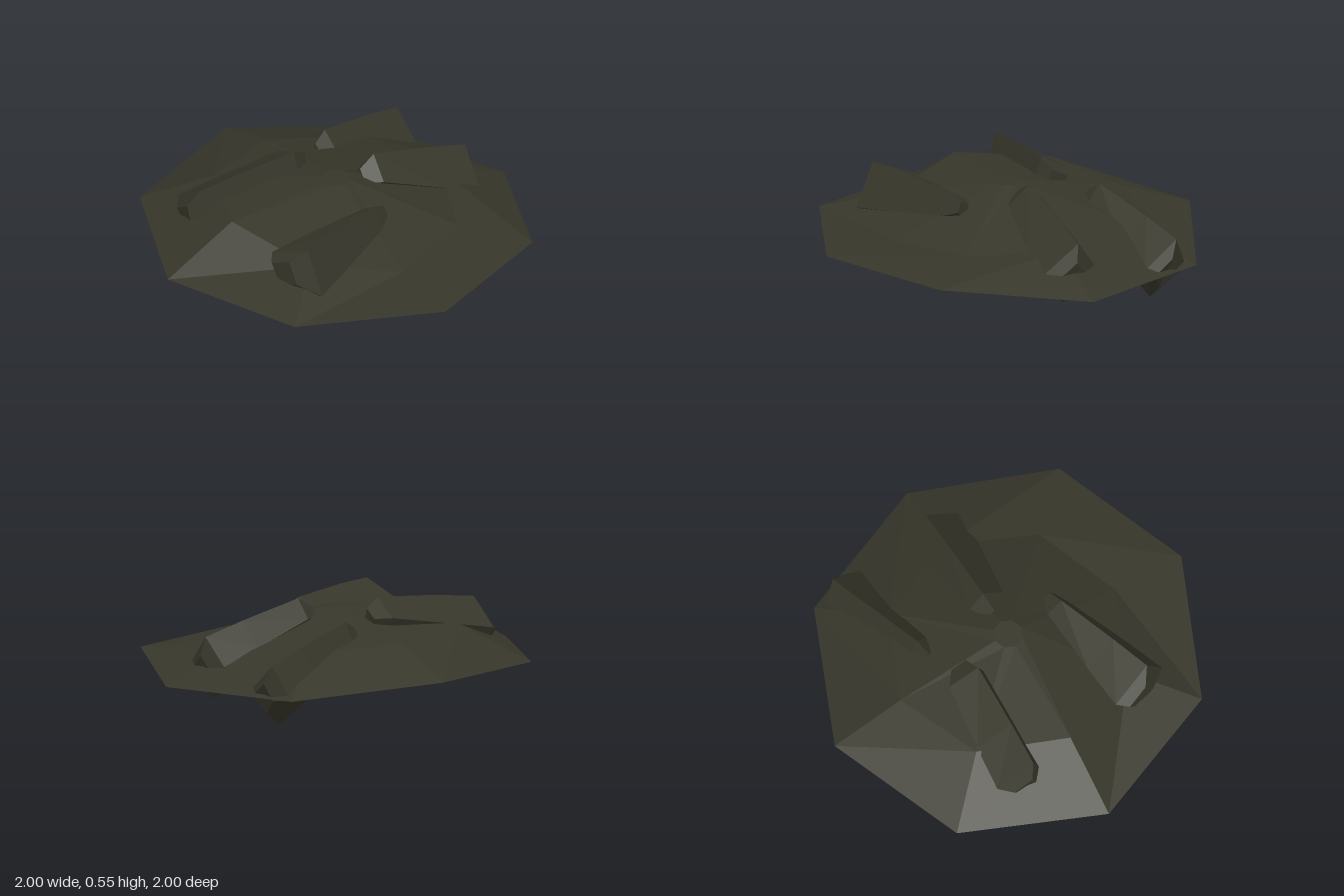
import * as THREE from 'three';

const earth = new THREE.MeshStandardMaterial({ color: 0x37362a, flatShading: true, side: THREE.DoubleSide });
earth.name = 'dark earth';

// Skin a list of equal-sized rings of Vector3; optionally close the ends
function loft(rings, capStart, capEnd) {
  const pos = [];
  const tri = (...pts) => pts.forEach((p) => pos.push(p.x, p.y, p.z));
  const n = rings[0].length;
  for (let r = 0; r < rings.length - 1; r++) {
    for (let i = 0; i < n; i++) {
      const j = (i + 1) % n;
      const [a, b, c, d] = [rings[r][i], rings[r][j], rings[r + 1][j], rings[r + 1][i]];
      tri(a, b, c);
      tri(a, c, d);
    }
  }
  const first = rings[0], last = rings[rings.length - 1];
  for (let i = 1; i < n - 1; i++) {
    if (capStart) tri(first[0], first[i + 1], first[i]);
    if (capEnd) tri(last[0], last[i], last[i + 1]);
  }
  const geo = new THREE.BufferGeometry();
  geo.setAttribute('position', new THREE.Float32BufferAttribute(pos, 3));
  geo.computeVertexNormals();
  return geo;
}

// Eight-sided ring; angles run from +x towards -z
function octagon(radius, heights) {
  return heights.map((y, i) => {
    const a = (i * Math.PI) / 4;
    return new THREE.Vector3(radius * Math.cos(a), y, -radius * Math.sin(a));
  });
}

const centre = (ring) => ring.reduce((s, p) => s.add(p), new THREE.Vector3()).divideScalar(ring.length);

// Tapered diamond-section rock with chamfered ends.
// Corners are listed top, front, bottom, back.
function rock(name, thick, thin, thickTip, thinTip) {
  const A = thick.map((p) => new THREE.Vector3(...p));
  const B = thin.map((p) => new THREE.Vector3(...p));
  const tip = (ring, target, k) => {
    const c = centre(ring), t = new THREE.Vector3(...target);
    return ring.map((p) => p.clone().sub(c).multiplyScalar(k).add(t));
  };
  const middle = A.map((p, i) => p.clone().lerp(B[i], 0.4));
  const mc = centre(middle);
  middle.forEach((p) => p.sub(mc).multiplyScalar(1.04).add(mc));
  let rings = [tip(A, thickTip, 0.5), A, middle, B, tip(B, thinTip, 0.5)];
  // Keep faces pointing outwards whichever way the rock lies
  const along = centre(B).sub(centre(A));
  const turn = A[1].clone().sub(A[0]).cross(A[2].clone().sub(A[0]));
  if (turn.dot(along) < 0) rings = rings.reverse();
  const mesh = new THREE.Mesh(loft(rings, true, true), earth);
  mesh.name = name;
  return mesh;
}

export function createModel() {
  const model = new THREE.Group();
  model.name = 'rockyMound';

  // Open, uneven mound with a small flat top
  const mound = new THREE.Mesh(loft([
    octagon(1, [0.155, 0.155, 0.23, 0.23, 0.23, 0.23, 0.23, 0.23]),
    octagon(0.62, [0.31, 0.34, 0.37, 0.41, 0.44, 0.35, 0.26, 0.28]),
    octagon(0.075, Array(8).fill(0.48)),
  ], false, true), earth);
  mound.name = 'mound';
  model.add(mound);

  // Rocks half buried in the slopes
  model.add(
    rock('leftRock',
      [[0.78, 0.39, -0.02], [0.75, 0.23, 0.17], [0.71, 0.065, 0.03], [0.74, 0.25, -0.13]],
      [[0.23, 0.535, -0.01], [0.22, 0.43, 0.1], [0.2, 0.34, 0.02], [0.22, 0.44, -0.09]],
      [0.785, 0.22, 0.01], [0.135, 0.435, 0.01]),
    rock('backLeftRock',
      [[0.74, 0.32, -0.58], [0.75, 0.18, -0.4], [0.64, 0, -0.48], [0.68, 0.15, -0.66]],
      [[0.2, 0.47, -0.41], [0.22, 0.38, -0.335], [0.22, 0.23, -0.39], [0.18, 0.35, -0.46]],
      [0.75, 0.15, -0.52], [0.13, 0.37, -0.38]),
    rock('backRightRock',
      [[-0.66, 0.5, -0.24], [-0.65, 0.3, -0.18], [-0.61, 0.165, -0.33], [-0.65, 0.37, -0.44]],
      [[-0.1, 0.545, -0.23], [-0.1, 0.42, -0.19], [-0.11, 0.3, -0.31], [-0.09, 0.46, -0.39]],
      [-0.7, 0.33, -0.3], [-0.02, 0.44, -0.28]),
    rock('frontRightRock',
      [[-0.5, 0.5, 0.51], [-0.48, 0.28, 0.61], [-0.53, 0.165, 0.4], [-0.57, 0.4, 0.29]],
      [[0.02, 0.475, 0.32], [0.03, 0.36, 0.37], [0, 0.27, 0.29], [0.01, 0.42, 0.235]],
      [-0.585, 0.35, 0.43], [0.09, 0.4, 0.29]),
  );
  return model;
}
